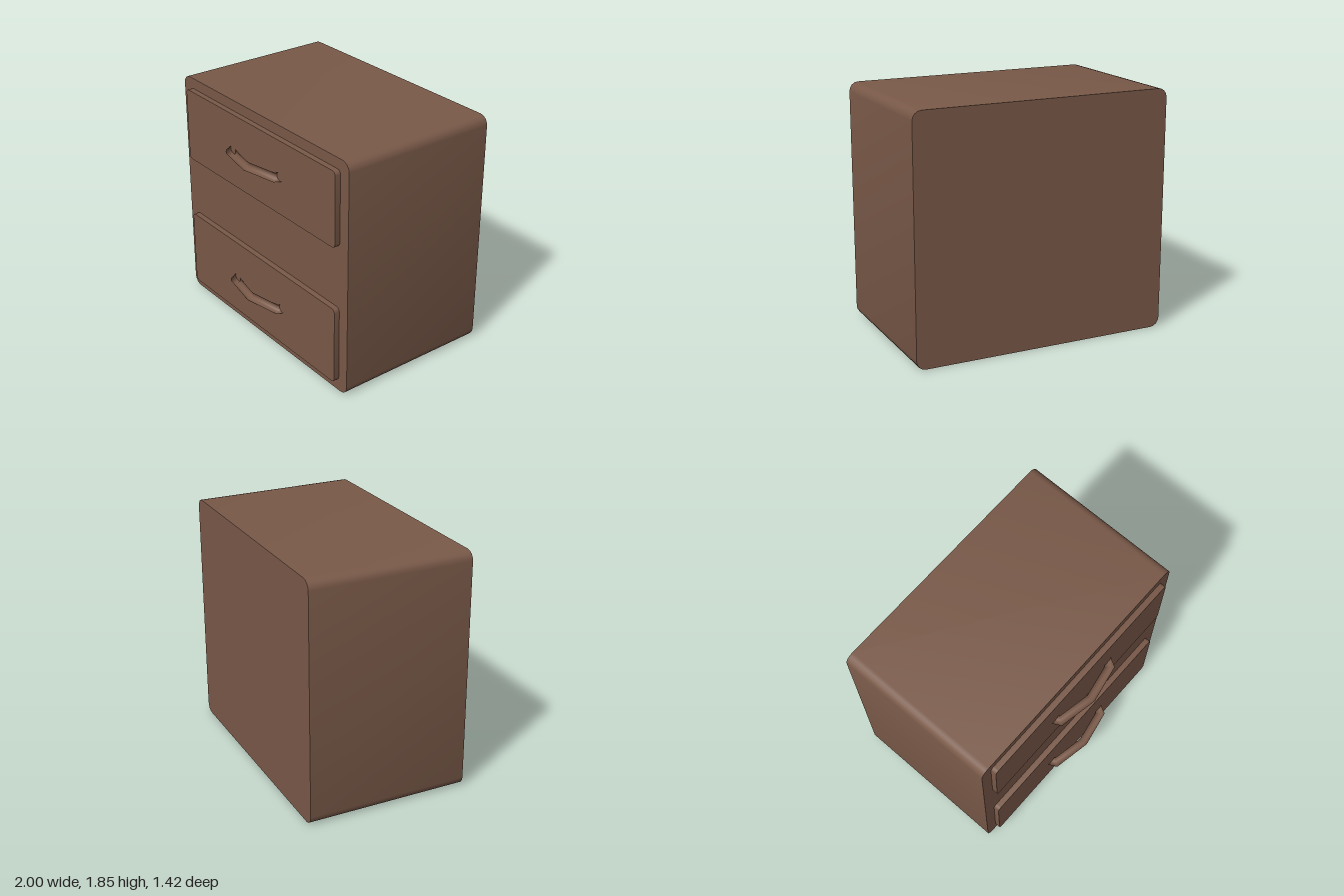
import * as THREE from 'three';
import { toCreasedNormals } from 'three/addons/utils/BufferGeometryUtils.js';

const wood = new THREE.MeshStandardMaterial({ color: 0x795948 });
wood.name = 'brown wood';

// Panel facing +z with rounded corners, from z0 to z1
function panel(name, halfWidth, y0, y1, z0, z1, r) {
  const s = new THREE.Shape();
  const w = halfWidth, q = Math.PI / 2;
  s.absarc(w - r, y0 + r, r, -q, 0);
  s.absarc(w - r, y1 - r, r, 0, q);
  s.absarc(-w + r, y1 - r, r, q, 2 * q);
  s.absarc(-w + r, y0 + r, r, 2 * q, 3 * q);
  s.closePath();
  const geo = new THREE.ExtrudeGeometry(s, { depth: z1 - z0, bevelEnabled: false, curveSegments: 2 });
  geo.translate(0, 0, z0);
  const mesh = new THREE.Mesh(toCreasedNormals(geo, Math.PI / 3), wood);
  mesh.name = name;
  return mesh;
}

// Angular pull: a cylinder whose rings are mitred along a bent path in x, z
function handle(name, y) {
  const r = 0.033;
  const path = [[-0.302, 0.56], [-0.27, 0.622], [0, 0.674], [0.27, 0.622], [0.302, 0.56]]
    .map(([x, z]) => new THREE.Vector2(x, z));
  const normals = path.slice(1).map((p, i) => {
    const d = p.clone().sub(path[i]).normalize();
    return new THREE.Vector2(-d.y, d.x);
  });
  const rings = path.map((p, i) => {
    const a = normals[Math.max(i - 1, 0)], b = normals[Math.min(i, normals.length - 1)];
    const m = a.clone().add(b).normalize();
    return m.multiplyScalar(1 / m.dot(a));
  });
  const geo = new THREE.CylinderGeometry(r, r, path.length - 1, 16, path.length - 1);
  const pos = geo.attributes.position;
  for (let i = 0; i < pos.count; i++) {
    const k = Math.round(pos.getY(i) + (path.length - 1) / 2);
    const out = pos.getX(i), up = pos.getZ(i);
    pos.setXYZ(i, path[k].x + rings[k].x * out, y - up, path[k].y + rings[k].y * out);
  }
  const mesh = new THREE.Mesh(toCreasedNormals(geo, Math.PI / 3), wood);
  mesh.name = name;
  return mesh;
}

export function createModel() {
  const model = new THREE.Group();
  model.name = 'nightstand';
  model.add(panel('cabinet', 1, 0, 1.85, -0.71, 0.54, 0.07));
  // Drawers with their pulls
  for (const [label, y0, y1, pullY] of [['upper', 1.19, 1.768, 1.489], ['lower', 0.085, 0.7, 0.398]]) {
    model.add(panel(label + 'Drawer', 0.91, y0, y1, 0.53, 0.584, 0.03));
    model.add(handle(label + 'Handle', pullY));
  }
  return model;
}
